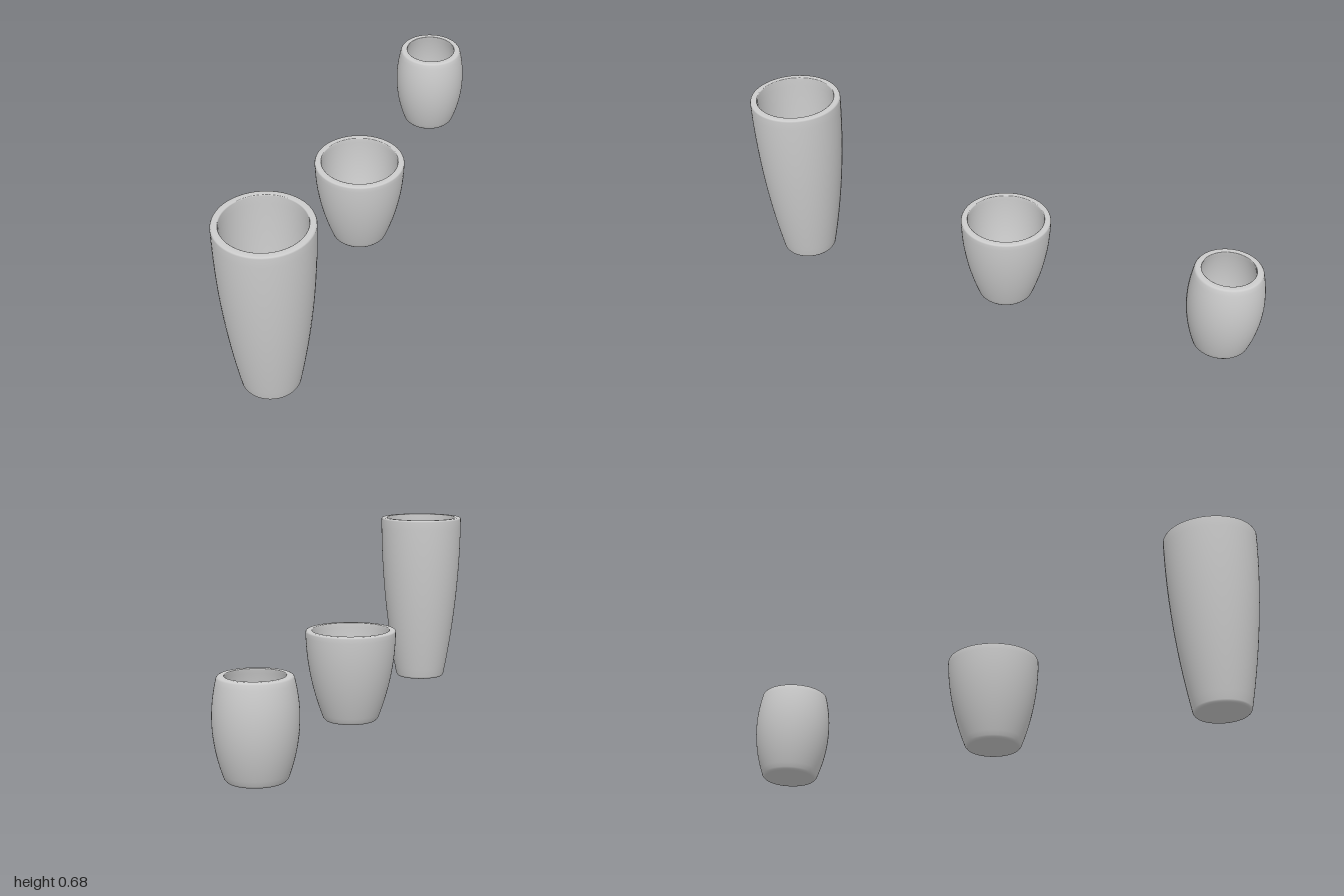
import * as THREE from 'three';

const BASE = 0.1;      // outer radius at the foot
const WALL = 0.025;    // wall and floor thickness
const STEPS = 20;

// Hollow turned pot: radiusAt(t) gives the outer radius from foot (0) to rim (1).
function makePot(name, height, z, radiusAt, material) {
  const pts = [];
  const add = (r, y) => pts.push(new THREE.Vector2(r, y));
  const outer = (y) => radiusAt(y / height);

  // underside and softened foot edge
  add(0, 0);
  add(BASE - 0.008, 0);
  add(BASE - 0.004, 0.001);
  add(BASE - 0.001, 0.004);

  // outer wall
  const footY = 0.009, rimY = height - 0.007;
  for (let i = 0; i <= STEPS; i++) {
    const y = footY + (rimY - footY) * (i / STEPS);
    add(outer(y), y);
  }

  // rounded rim
  const top = radiusAt(1);
  add(top - 0.002, height - 0.002);
  add(top - 0.007, height);
  add(top - WALL + 0.003, height);
  add(top - WALL + 0.001, height - 0.001);

  // inner wall, following the outer one
  const round = 0.05;
  const cornerY = WALL + round;
  for (let i = 0; i <= STEPS; i++) {
    const y = height - 0.004 + (cornerY - height + 0.004) * (i / STEPS);
    add(outer(y) - WALL, y);
  }

  // rounded inner floor
  const cornerR = outer(cornerY) - WALL;
  for (let i = 1; i <= 10; i++) {
    const a = (i / 10) * Math.PI / 2;
    add(cornerR * Math.cos(a), cornerY - round * Math.sin(a));
  }
  pts[pts.length - 1].x = 0;

  const pot = new THREE.Mesh(new THREE.LatheGeometry(pts, 64), material);
  pot.name = name;
  pot.position.z = z;
  return pot;
}

export function createModel() {
  const group = new THREE.Group();
  group.name = 'planterSet';
  const material = new THREE.MeshStandardMaterial({ color: 0xcccccc });

  // flared: widens quickly, then runs upright to the rim
  const flared = (t) => BASE + 0.068 * (1 - (1 - t) ** 2);
  // barrel: bulges in the middle and narrows at the rim
  const barrel = (t) => BASE + 0.022 * t + 0.112 * t * (1 - t);

  group.add(
    makePot('tallPlanter', 0.683, 0.832, flared, material),
    makePot('lowPlanter', 0.342, -0.014, flared, material),
    makePot('barrelPlanter', 0.342, -0.86, barrel, material),
  );
  return group;
}
